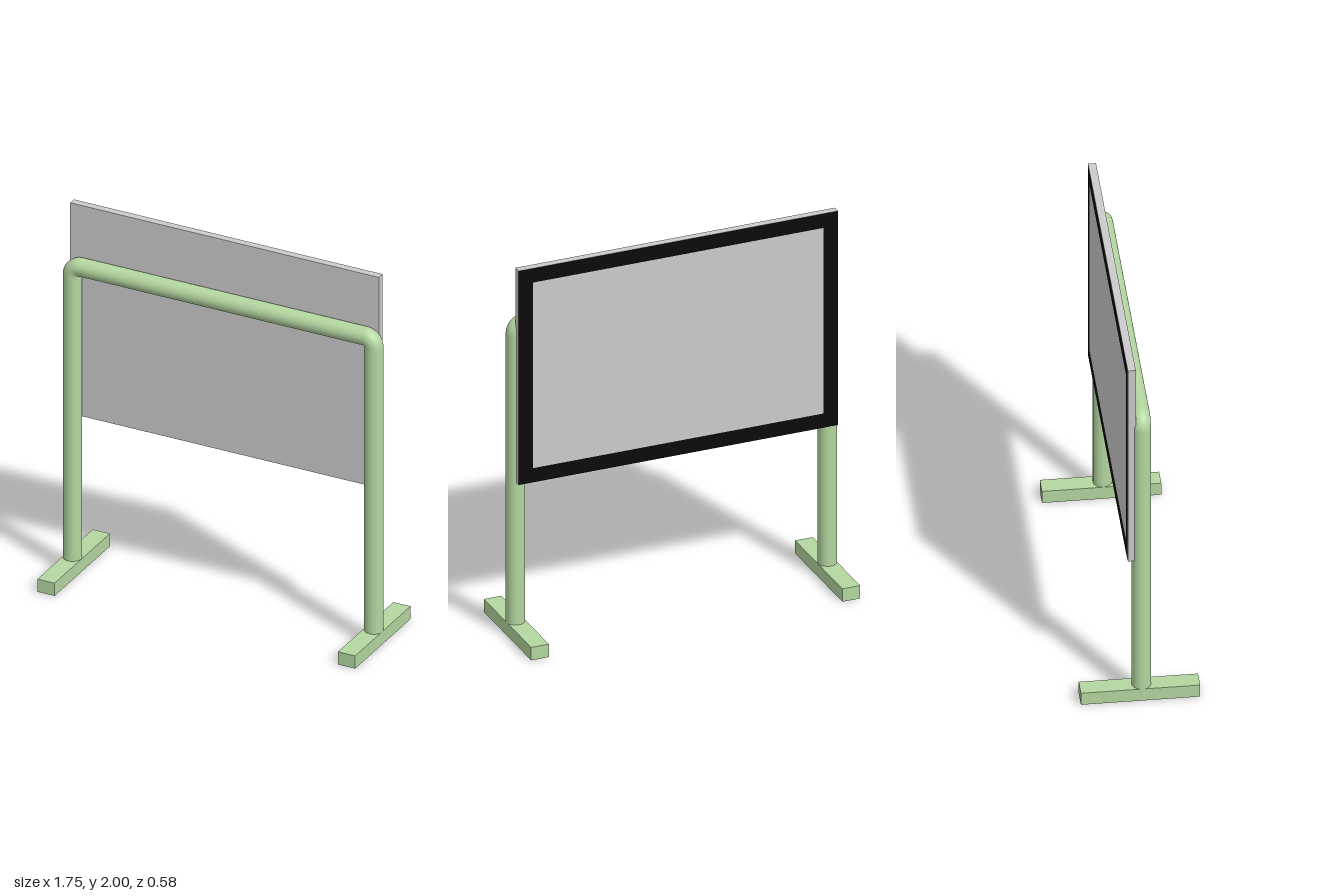
import * as THREE from 'three';

const green = new THREE.MeshStandardMaterial({ color: 0xb4d6a0 });
const grey = new THREE.MeshStandardMaterial({ color: 0xcccccc });
const black = new THREE.MeshStandardMaterial({ color: 0x0a0a0a });

const R = 0.047;          // tube radius
const BEND = 0.048;       // corner bend radius
const LEG_X = 0.827;      // leg axis
const BEAM_Y = 1.678;     // crossbar axis
const TUBE_Z = 0.009;

function add(group, name, geometry, material, x, y, z) {
  const mesh = new THREE.Mesh(geometry, material);
  mesh.name = name;
  mesh.position.set(x, y, z);
  group.add(mesh);
  return mesh;
}

export function createModel() {
  const model = new THREE.Group();
  model.name = 'boardStand';

  // Tubular frame: a leg, a rounded corner and a foot on each side
  const legBottom = 0.02, legTop = BEAM_Y - BEND;
  for (const s of [-1, 1]) {
    const side = s > 0 ? 'left' : 'right';
    add(model, side + 'Leg', new THREE.CylinderGeometry(R, R, legTop - legBottom, 32),
      green, s * LEG_X, (legTop + legBottom) / 2, TUBE_Z);
    const corner = add(model, side + 'Corner', new THREE.TorusGeometry(BEND, R, 32, 16, Math.PI / 2),
      green, s * (LEG_X - BEND), legTop, TUBE_Z);
    if (s < 0) corner.rotation.y = Math.PI;
    add(model, side + 'Foot', new THREE.BoxGeometry(0.094, 0.07, 0.585), green, s * 0.825, 0.035, 0);
  }
  const bar = add(model, 'crossbar', new THREE.CylinderGeometry(R, R, 2 * (LEG_X - BEND), 32),
    green, 0, BEAM_Y, TUBE_Z);
  bar.rotation.z = Math.PI / 2;

  // Flat board fixed behind the frame
  const w = 1.694, h = 1.16, cx = -0.008, cy = 1.42;
  add(model, 'board', new THREE.BoxGeometry(w, h, 0.039), grey, cx, cy, -0.0405);

  // Black border lying on the back face of the board
  const rect = (Path, a, b) => new Path([[-a, -b], [a, -b], [a, b], [-a, b]]
    .map(([x, y]) => new THREE.Vector2(x, y)));
  const border = rect(THREE.Shape, w / 2, h / 2);
  border.holes.push(rect(THREE.Path, w / 2 - 0.077, h / 2 - 0.077));
  const rim = add(model, 'boardBorder', new THREE.ShapeGeometry(border), black, cx, cy, -0.061);
  rim.rotation.y = Math.PI;

  return model;
}
